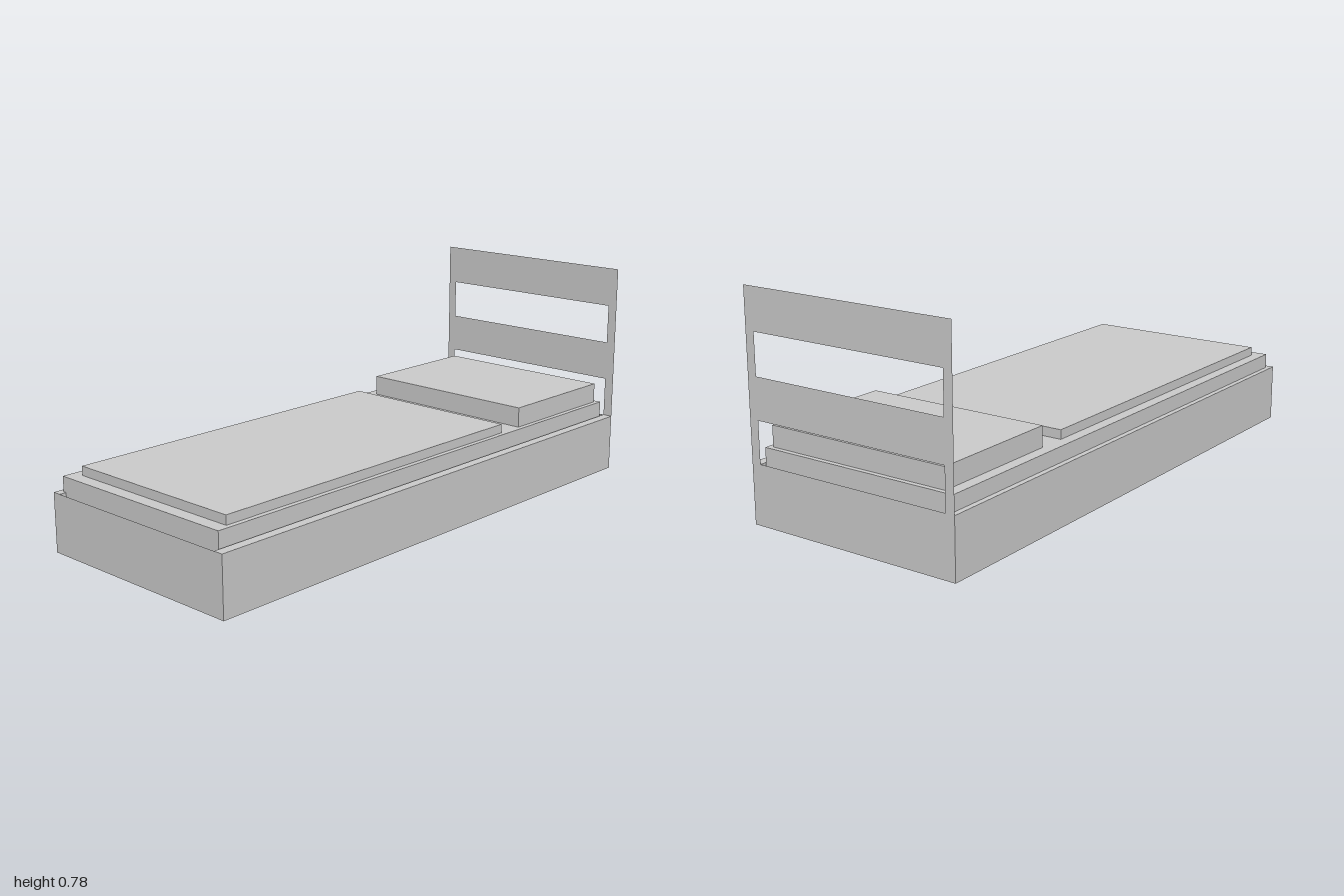
import * as THREE from 'three';

const material = new THREE.MeshStandardMaterial({ color: 0xcccccc, flatShading: true });
const thin = new THREE.MeshStandardMaterial({ color: 0xcccccc, flatShading: true, side: THREE.DoubleSide });

// Box given by its [min, max] along each axis
function box(name, [x0, x1], [y0, y1], [z0, z1], mat = material) {
  const mesh = new THREE.Mesh(new THREE.BoxGeometry(x1 - x0, y1 - y0, z1 - z0), mat);
  mesh.position.set((x0 + x1) / 2, (y0 + y1) / 2, (z0 + z1) / 2);
  mesh.name = name;
  return mesh;
}

function rectangle(Type, x0, x1, y0, y1) {
  return new Type([[x0, y0], [x1, y0], [x1, y1], [x0, y1]].map(p => new THREE.Vector2(...p)));
}

// Thin upright panel with rectangular openings
function panel(name, height, z, openings = []) {
  const shape = rectangle(THREE.Shape, -0.405, 0.405, 0, height);
  for (const [y0, y1] of openings) shape.holes.push(rectangle(THREE.Path, -0.372, 0.37, y0, y1));
  const mesh = new THREE.Mesh(new THREE.ShapeGeometry(shape), thin);
  mesh.position.z = z;
  mesh.name = name;
  return mesh;
}

export function createModel() {
  const bed = new THREE.Group();
  bed.name = 'bed';

  // Frame: two solid rails between thin end panels
  bed.add(box('leftRail', [0.37, 0.405], [0, 0.207], [-1, 1]));
  bed.add(box('rightRail', [-0.405, -0.373], [0, 0.207], [-1, 1]));
  bed.add(panel('footboard', 0.207, 1));
  bed.add(panel('headboard', 0.777, -1, [[0.207, 0.35], [0.492, 0.634]]));

  // Mattress: a shell without an underside
  const mattress = box('mattress', [-0.386, 0.363], [0.168, 0.26], [-0.983, 0.975], thin);
  const index = Array.from(mattress.geometry.index.array);
  index.splice(18, 6); // the downward face
  mattress.geometry.setIndex(index);
  mattress.geometry.clearGroups();
  bed.add(mattress);

  // Bedding
  bed.add(box('blanket', [-0.345, 0.345], [0.26, 0.292], [-0.384, 0.928]));
  bed.add(box('pillow', [-0.345, 0.345], [0.26, 0.332], [-0.966, -0.484]));

  return bed;
}
